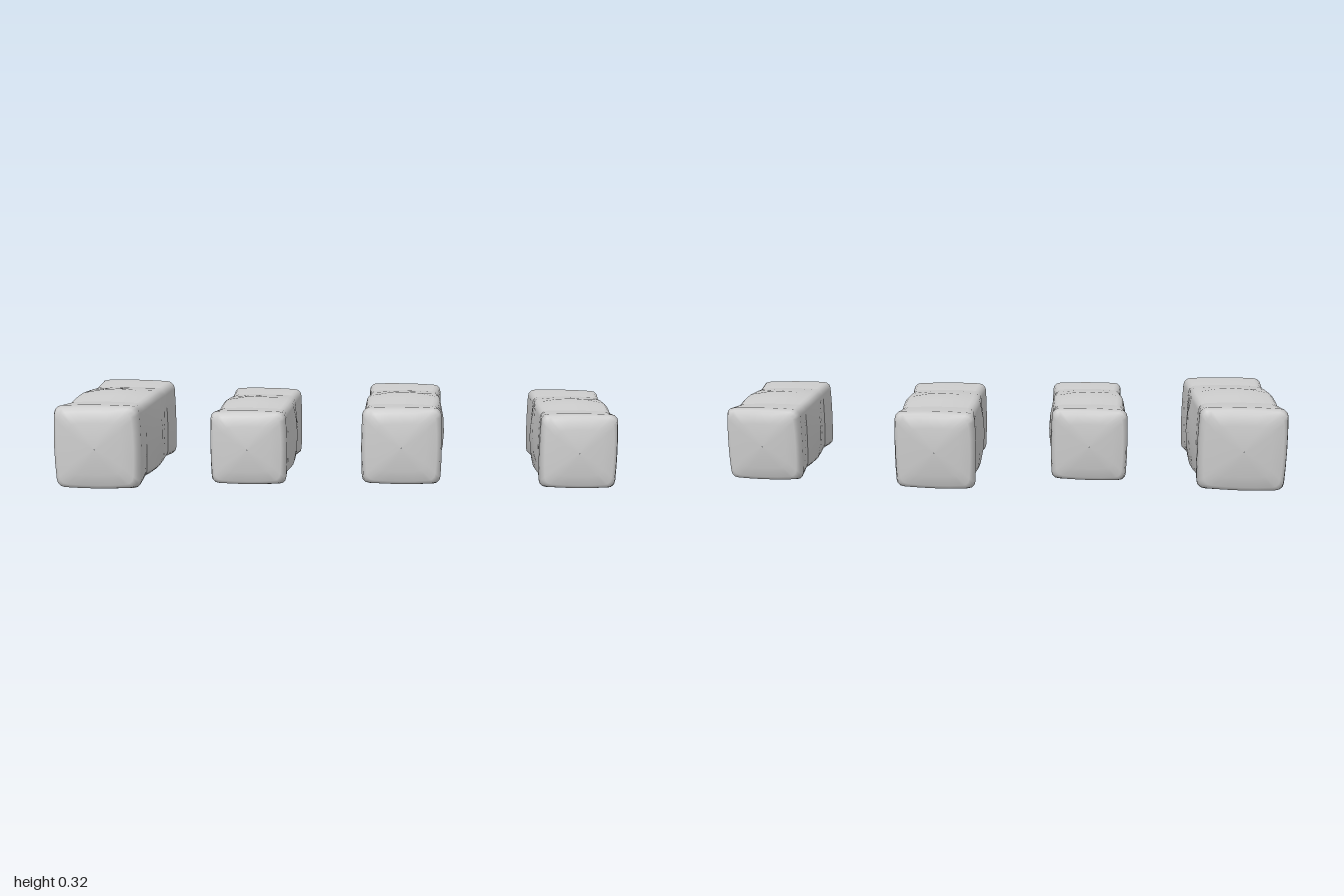
import * as THREE from 'three';
import { mergeGeometries } from 'three/addons/utils/BufferGeometryUtils.js';

// Rounded-square ring of half size h, whose sides swell outwards by b
function ring(h, b) {
  const r = Math.min(0.028, h * 0.4), pts = [];
  for (let k = 0; k < 4; k++) {
    const side = [-1, -0.5, 0, 0.5, 1].map(t => [h + b * (1 - t * t), t * (h - r)]);
    for (const a of [Math.PI / 6, Math.PI / 3]) {
      side.push([h - r + r * Math.cos(a), h - r + r * Math.sin(a)]);
    }
    const c = Math.round(Math.cos(k * Math.PI / 2)), s = Math.round(Math.sin(k * Math.PI / 2));
    for (const [x, y] of side) pts.push([c * x - s * y, s * x + c * y]);
  }
  return pts;
}

// Skin over rings [z, half size, swell], listed from back to front
function loft(sections) {
  const pos = [], index = [], n = 28;
  sections.forEach(([z, h, b], i) => {
    ring(h, b).forEach(([x, y], j) => {
      // ends lean slightly and are a little shorter on the left side (+x)
      const end = Math.max(0, Math.abs(z) - 0.16) / 0.157;
      const trim = -Math.sign(z) * end * (z < 0 ? 0.075 : 0.05) * x;
      pos.push(x * 1.025, y, z + trim - 0.035 * y * end);
      if (i < sections.length - 1) {
        const a = i * n + j, d = i * n + (j + 1) % n;
        index.push(a, d, d + n, a, d + n, a + n);
      }
    });
  });
  const g = new THREE.BufferGeometry();
  g.setAttribute('position', new THREE.Float32BufferAttribute(pos, 3));
  g.setIndex(index);
  g.computeVertexNormals();
  return g;
}

// One block: swollen middle, pinched necks, flared ends with softly domed caps
function blockGeometry() {
  const neck = [0.16, 0.139, 0.003];
  const front = [neck, [0.272, 0.148, 0.003], [0.296, 0.141, 0.004], [0.306, 0.128, 0.004],
    [0.312, 0.09, 0.003], [0.317, 0.045, 0.001], [0.318, 0.001, 0]];
  const flip = list => list.map(([z, h, b]) => [-z, h, b]).reverse();
  const middle = [[0, 0.147, 0.015], [0.08, 0.144, 0.008], neck];
  return mergeGeometries([
    loft(flip(front)),
    loft([...flip(middle.slice(1)), ...middle]),
    loft(front),
  ]);
}

export function createModel() {
  const model = new THREE.Group();
  model.name = 'fourBlocks';
  const material = new THREE.MeshStandardMaterial({ color: 0xcccccc });
  const geometry = blockGeometry();
  // name, x, z, width and height scale, length scale
  const blocks = [
    ['farRightBlock', -0.83, 0.028, 1, 1],
    ['innerRightBlock', -0.297, 0.03, 0.875, 0.87],
    ['innerLeftBlock', 0.24, -0.06, 0.925, 0.93],
    ['farLeftBlock', 0.855, -0.017, 0.875, 0.89],
  ];
  for (const [name, x, z, s, l] of blocks) {
    const block = new THREE.Mesh(geometry, material);
    block.name = name;
    block.position.set(x, 0.162, z);
    block.scale.set(s, s, l);
    model.add(block);
  }
  return model;
}
